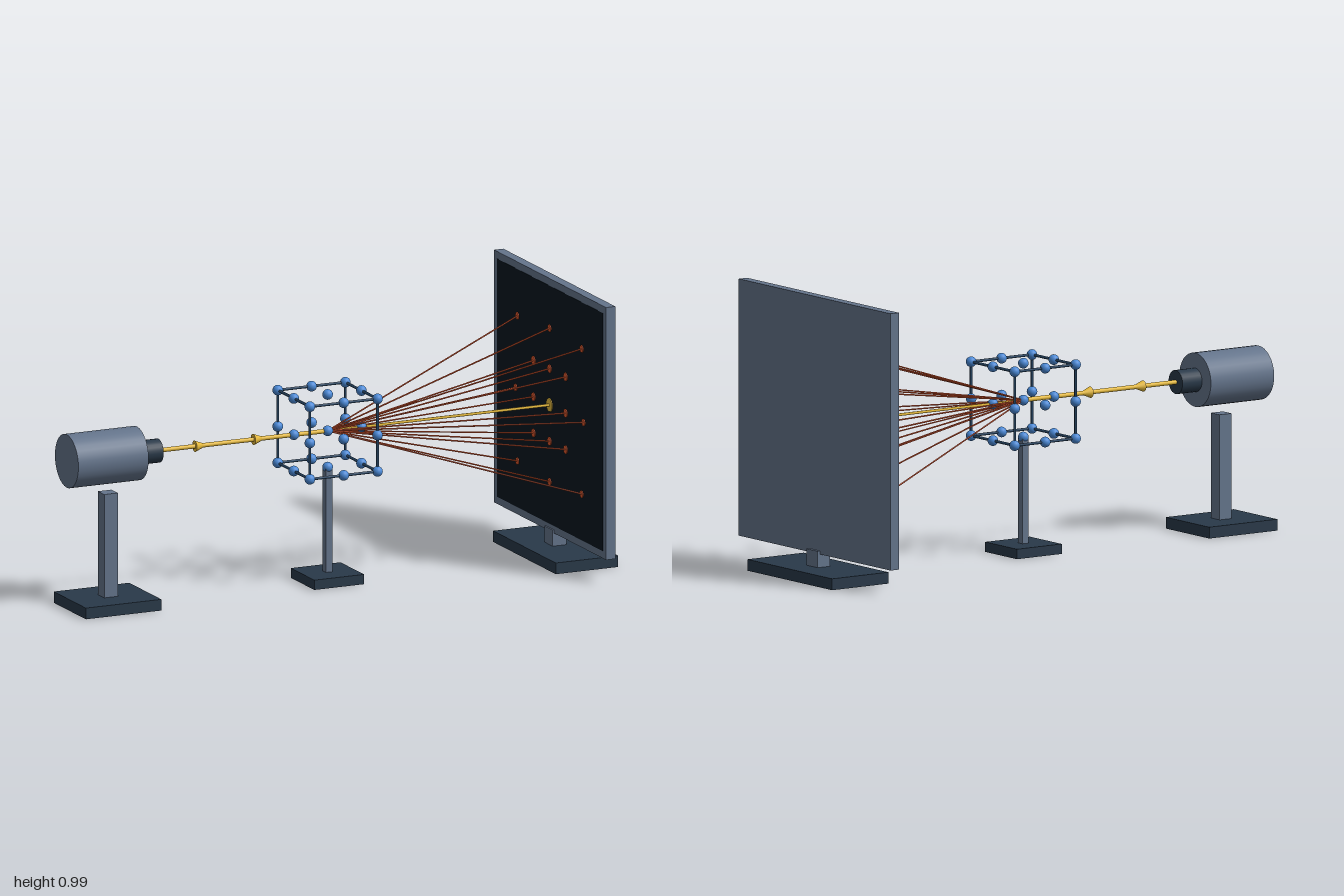
import * as THREE from 'three';

const mat = (name, color) => {
  const m = new THREE.MeshStandardMaterial({ color });
  m.name = name;
  return m;
};

export function createModel() {
  const root = new THREE.Group();
  root.name = 'diffractionBench';

  const metal = mat('greyMetal', 0x64748b);
  const dark = mat('darkBase', 0x293949);
  const panelMat = mat('blackPanel', 0x07161f);
  const atomMat = mat('atomBlue', 0x4a8ad8);
  const rodMat = mat('rodNavy', 0x274563);
  const gold = mat('beamGold', 0xf2c440);
  const rust = mat('rayOrange', 0xe0582c);

  const axisY = 0.538; // height of the beam
  const sampleX = 0.003; // centre of the crystal

  const group = (name) => {
    const g = new THREE.Group();
    g.name = name;
    root.add(g);
    return g;
  };
  const add = (parent, name, geometry, material) => {
    const m = new THREE.Mesh(geometry, material);
    m.name = name;
    parent.add(m);
    return m;
  };
  // box from its x and y ranges, centred on z = 0
  const box = (parent, name, x0, x1, y0, y1, depth, material) => {
    const m = add(parent, name, new THREE.BoxGeometry(x1 - x0, y1 - y0, depth), material);
    m.position.set((x0 + x1) / 2, (y0 + y1) / 2, 0);
    return m;
  };
  // tapered or straight cylinder between two points
  const rod = (parent, name, a, b, r0, r1, sides, material) => {
    const dir = b.clone().sub(a);
    const m = add(parent, name, new THREE.CylinderGeometry(r1, r0, dir.length(), sides), material);
    m.position.copy(a).add(b).multiplyScalar(0.5);
    m.quaternion.setFromUnitVectors(new THREE.Vector3(0, 1, 0), dir.normalize());
    return m;
  };
  const onAxis = (x, y = 0, z = 0) => new THREE.Vector3(x, axisY + y, z);

  // Source: housing, nozzle and stand
  const source = group('source');
  rod(source, 'housing', onAxis(-1), onAxis(-0.73), 0.095, 0.095, 32, metal);
  rod(source, 'nozzle', onAxis(-0.73), onAxis(-0.647), 0.042, 0.042, 24, dark);
  box(source, 'sourcePost', -0.868, -0.816, 0.04, 0.41, 0.052, metal);
  box(source, 'sourceBase', -0.988, -0.698, 0, 0.04, 0.26, dark);

  // Incoming beam with direction arrows
  const beam = group('beam');
  rod(beam, 'incomingBeam', onAxis(-0.647), onAxis(sampleX), 0.008, 0.008, 12, gold);
  for (const x of [-0.508, -0.283]) {
    rod(beam, 'beamArrow', onAxis(x), onAxis(x + 0.05), 0.02, 0, 16, gold);
  }

  // Sample stand
  const stand = group('sampleStand');
  box(stand, 'samplePost', -0.01, 0.016, 0.035, 0.41, 0.026, metal);
  box(stand, 'sampleBase', -0.093, 0.098, 0, 0.035, 0.19, dark);

  // Crystal lattice: atoms on a 3 x 3 x 3 grid, rods along the cube edges
  const lattice = group('lattice');
  lattice.position.set(sampleX, axisY, 0);
  const h = 0.13;
  const atomGeo = new THREE.SphereGeometry(0.0185, 18, 12);
  const steps = [-1, 0, 1];
  const at = (x, y, z) => new THREE.Vector3(x, y, z);
  for (const i of steps) for (const j of steps) for (const k of steps) {
    add(lattice, 'atom', atomGeo, atomMat).position.set(i * h, j * h, k * h);
  }
  for (const s of [-h, h]) for (const t of [-h, h]) {
    rod(lattice, 'latticeRodX', at(-h, s, t), at(h, s, t), 0.005, 0.005, 8, rodMat);
    rod(lattice, 'latticeRodY', at(s, -h, t), at(s, h, t), 0.005, 0.005, 8, rodMat);
    rod(lattice, 'latticeRodZ', at(s, t, -h), at(s, t, h), 0.005, 0.005, 8, rodMat);
  }

  // Detector screen facing the sample
  const detector = group('detector');
  const screenX = 0.857;
  box(detector, 'screen', screenX + 0.001, 0.894, 0.086, 0.99, 0.906, metal);
  box(detector, 'screenPanel', screenX, screenX + 0.002, 0.112, 0.964, 0.856, panelMat);
  box(detector, 'screenFoot', 0.852, 0.905, 0.04, 0.098, 0.066, metal);
  box(detector, 'screenBase', 0.76, 1, 0, 0.04, 0.506, dark);

  // Diffracted rays, each ending in a flat spot on the panel
  const rays = group('diffraction');
  const ray = (name, y, z, r, spotR, material) => {
    rod(rays, name + 'Ray', onAxis(sampleX), onAxis(screenX, y, z), r, r, 6, material);
    rod(rays, name + 'Spot', onAxis(screenX - 0.003, y, z), onAxis(screenX + 0.001, y, z),
      spotR, spotR, 16, material);
  };
  ray('central', 0, 0, 0.005, 0.024, gold);
  for (const i of steps) for (const j of steps) {
    if (i === 0 && j === 0) continue;
    const outer = i && j ? 0.26 : 0.275;
    ray('inner', i * 0.13, j * 0.13, 0.0027, 0.015, rust);
    ray('outer', i * outer, j * outer, 0.0027, 0.013, rust);
  }

  return root;
}
